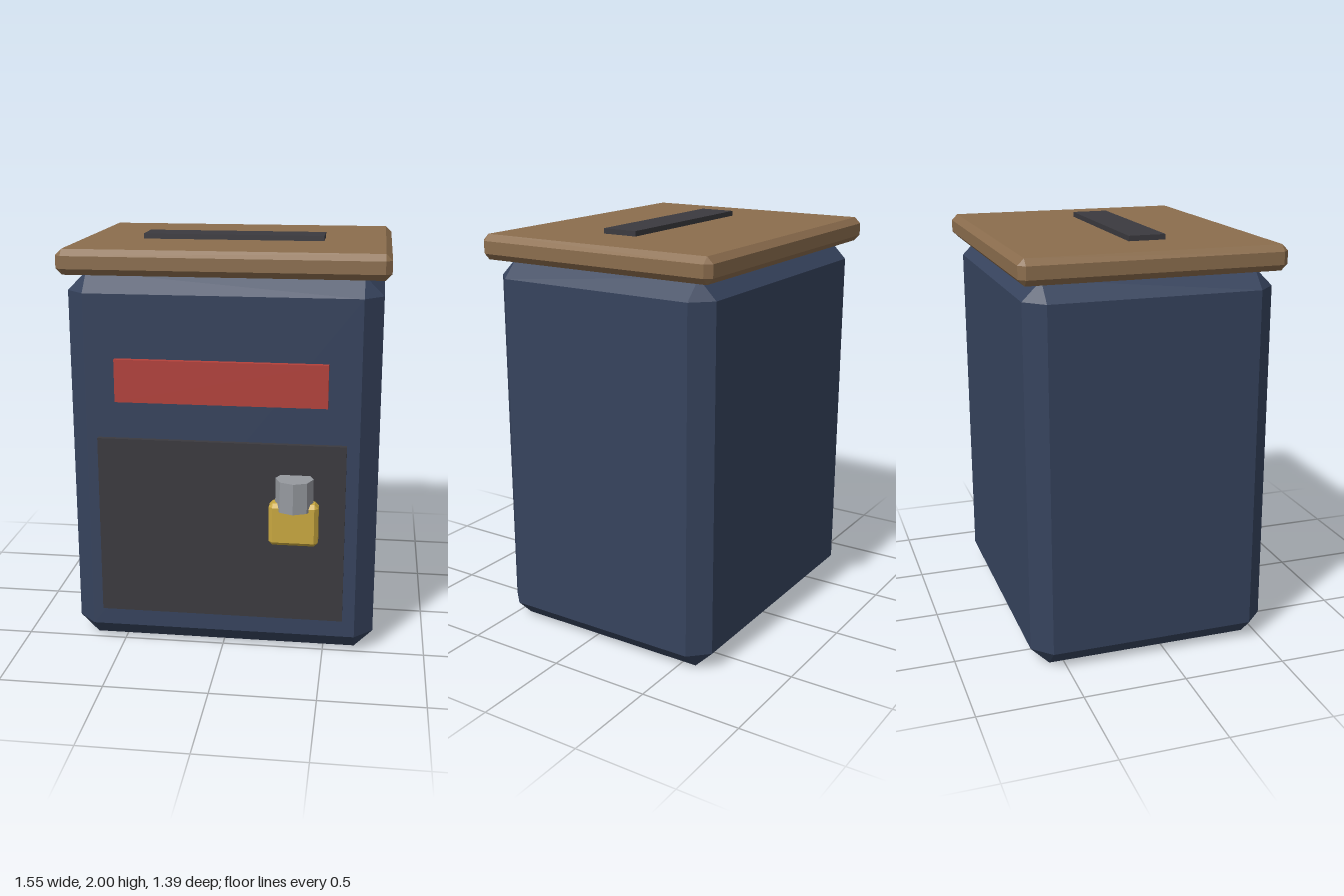
import * as THREE from 'three';
import { ConvexGeometry } from 'three/addons/geometries/ConvexGeometry.js';

const paint = (name, color) => {
  const material = new THREE.MeshStandardMaterial({ color });
  material.name = name;
  return material;
};

// Box with every edge cut at 45 degrees by c
function chamferedBox(w, h, d, c) {
  const points = [];
  for (const x of [-w / 2, w / 2])
    for (const y of [-h / 2, h / 2])
      for (const z of [-d / 2, d / 2]) {
        const ix = x - Math.sign(x) * c, iy = y - Math.sign(y) * c, iz = z - Math.sign(z) * c;
        points.push(
          new THREE.Vector3(x, iy, iz),
          new THREE.Vector3(ix, y, iz),
          new THREE.Vector3(ix, iy, z),
        );
      }
  return new ConvexGeometry(points);
}

export function createModel() {
  const group = new THREE.Group();
  group.name = 'dropBox';

  const navy = paint('navy', 0x36435d);
  const wood = paint('wood', 0x8b6d4d);
  const charcoal = paint('charcoal', 0x3b3a3f);
  const red = paint('red', 0xb3413b);
  const brass = paint('brass', 0xc9a840);
  const steel = paint('steel', 0x96999f);

  const add = (name, geometry, material, x, y, z) => {
    const mesh = new THREE.Mesh(geometry, material);
    mesh.name = name;
    mesh.position.set(x, y, z);
    group.add(mesh);
  };

  // Body and overhanging lid
  add('body', chamferedBox(1.49, 1.86, 1.19, 0.09), navy, 0, 0.93, -0.065);
  add('lid', chamferedBox(1.55, 0.12, 1.255, 0.03), wood, 0, 1.915, -0.068);
  add('slot', new THREE.BoxGeometry(0.895, 0.05, 0.18), charcoal, -0.002, 1.975, -0.01);

  // Front panels
  add('signPlate', new THREE.BoxGeometry(1.01, 0.206, 0.06), red, -0.002, 1.362, 0.53);
  add('door', new THREE.BoxGeometry(1.194, 0.892, 0.06), charcoal, -0.002, 0.63, 0.525);

  // Padlock
  add('padlockBody', chamferedBox(0.234, 0.208, 0.09, 0.018), brass, 0.355, 0.707, 0.605);
  const shackle = new THREE.CylinderGeometry(0.09, 0.09, 0.15, 8).toNonIndexed();
  shackle.computeVertexNormals();
  add('padlockShackle', shackle, steel, 0.356, 0.853, 0.602);

  return group;
}
